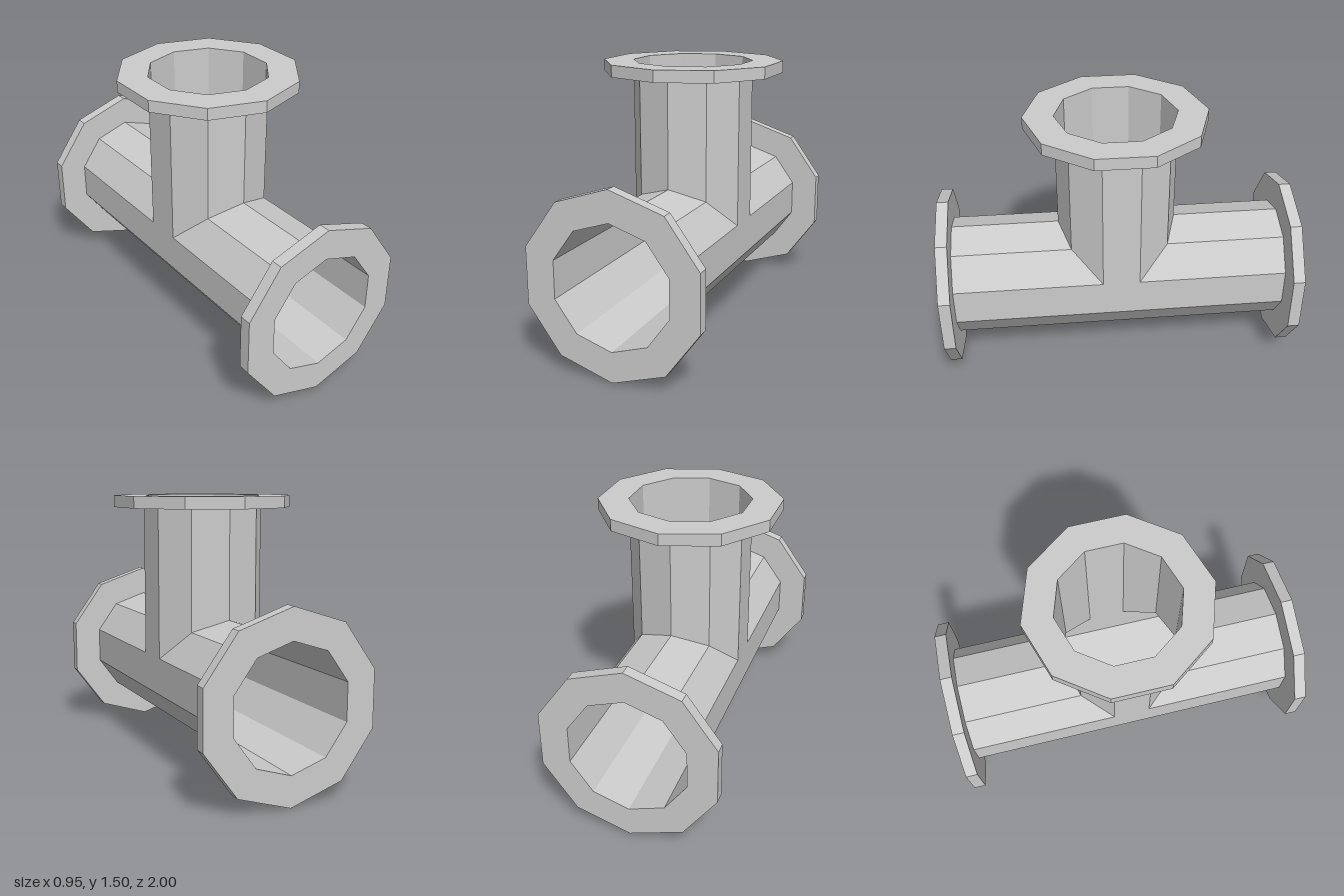
import * as THREE from 'three';

const SIDES = 10, CENTRE_Y = 0.5, PIPE_R = 0.333, FLANGE_R = 0.5, LENGTH = 1, FLANGE_T = 0.065;

const material = new THREE.MeshStandardMaterial({ color: 0xcccccc, flatShading: true, side: THREE.DoubleSide });

// Decagon with a corner at the top
function ring(radius) {
  return Array.from({ length: SIDES }, (_, i) => {
    const a = (i / SIDES) * Math.PI * 2;
    return new THREE.Vector2(radius * Math.sin(a), radius * Math.cos(a));
  });
}

// Thin tube along +z; startAt(v, midV) gives the mitred start of each wall panel
function tubeGeometry(startAt) {
  const points = ring(PIPE_R), end = LENGTH - FLANGE_T, pos = [];
  points.forEach((a, i) => {
    const b = points[(i + 1) % SIDES];
    const mid = (a.y + b.y) / 2;
    const a0 = [a.x, a.y, startAt(a.y, mid)], a1 = [a.x, a.y, end];
    const b0 = [b.x, b.y, startAt(b.y, mid)], b1 = [b.x, b.y, end];
    pos.push(...a0, ...a1, ...b1, ...a0, ...b1, ...b0);
  });
  const geometry = new THREE.BufferGeometry();
  geometry.setAttribute('position', new THREE.Float32BufferAttribute(pos, 3));
  geometry.computeVertexNormals();
  return geometry;
}

// Flat decagonal collar with a hole the size of the pipe
function flangeGeometry() {
  const shape = new THREE.Shape(ring(FLANGE_R));
  shape.holes.push(new THREE.Path(ring(PIPE_R)));
  return new THREE.ExtrudeGeometry(shape, { depth: FLANGE_T, bevelEnabled: false })
    .translate(0, 0, LENGTH - FLANGE_T);
}

// One arm of the tee: tube plus end flange
function arm(name, startAt) {
  const group = new THREE.Group();
  group.name = name + 'Arm';
  const pipe = new THREE.Mesh(tubeGeometry(startAt), material);
  pipe.name = name + 'Pipe';
  const flange = new THREE.Mesh(flangeGeometry(), material);
  flange.name = name + 'Flange';
  group.add(pipe, flange);
  group.position.y = CENTRE_Y;
  return group;
}

export function createModel() {
  const model = new THREE.Group();
  model.name = 'pipeTee';

  // Horizontal run: upper panels are cut at 45 degrees for the branch, lower ones meet at the middle
  const runStart = (v, mid) => (mid > 0.01 ? v : 0);
  const front = arm('front', runStart);
  const back = arm('back', runStart);
  back.rotation.y = Math.PI;

  // Vertical branch sits in the cut, open to the run below
  const branch = arm('branch', (v) => Math.abs(v));
  branch.rotation.x = -Math.PI / 2;

  model.add(front, back, branch);
  return model;
}
